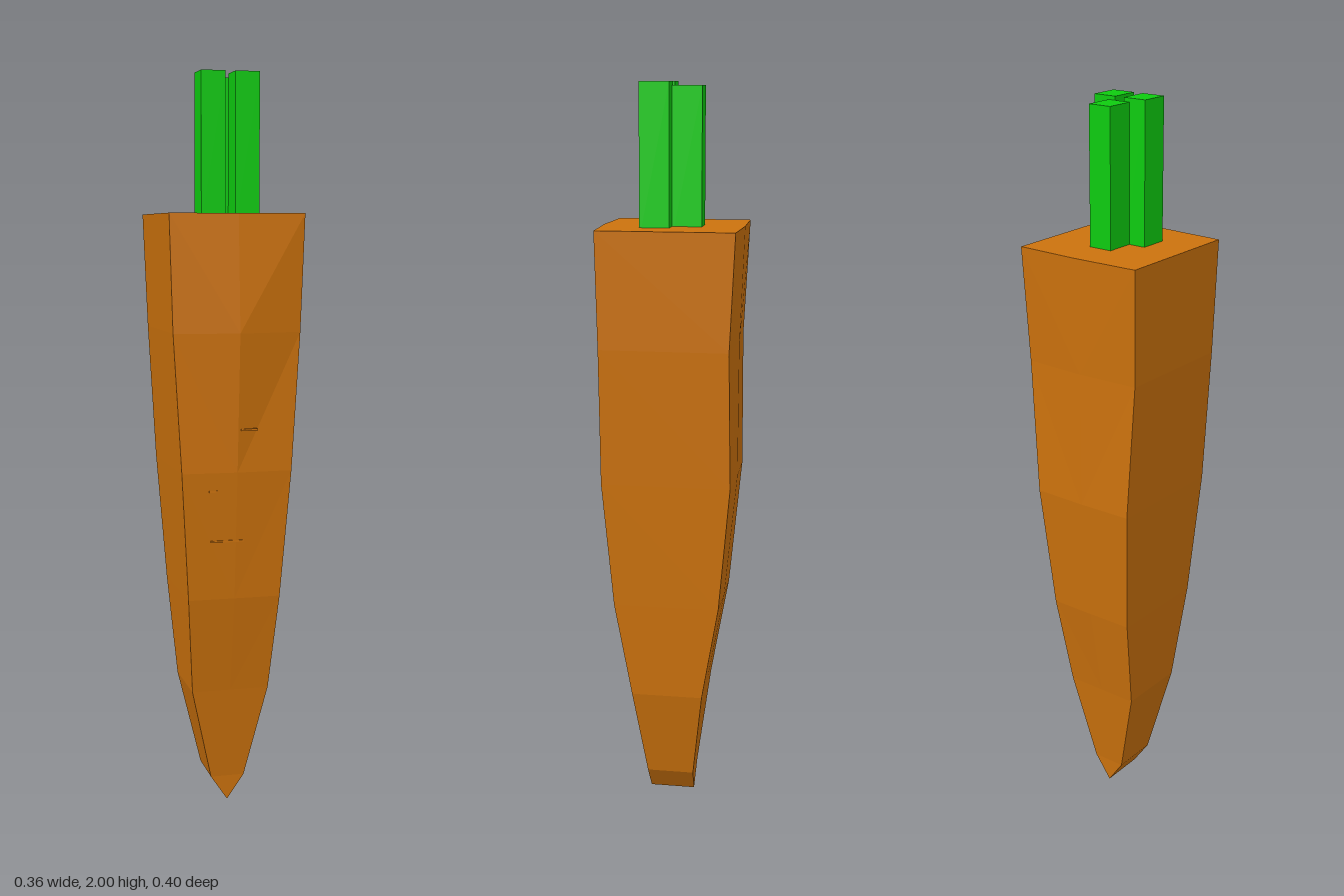
import * as THREE from 'three';

const orange = new THREE.MeshStandardMaterial({ color: 0xcc720d, flatShading: true });
const green = new THREE.MeshStandardMaterial({ color: 0x0dcc0f, flatShading: true });

// Cross-sections from top to tip: [y, half width, front corner z, front middle z, back corner z, back middle z]
const SECTIONS = [
  [1.63, 0.182, 0.17, 0.178, -0.195, -0.2],
  [1.32, 0.172, 0.165, 0.198, -0.18, -0.188],
  [0.95, 0.15, 0.165, 0.17, -0.184, -0.187],
  [0.6, 0.127, 0.137, 0.138, -0.152, -0.153],
  [0.33, 0.107, 0.092, 0.092, -0.105, -0.105],
  [0.07, 0.047, 0.058, 0.058, -0.073, -0.073],
  [0, 0, 0.055, 0.055, -0.07, -0.07],
];

function rootGeometry() {
  const positions = [];
  const index = [];
  for (const [y, x, zf, cf, zb, cb] of SECTIONS) {
    positions.push(x, y, zf, 0, y, cf, -x, y, zf, -x, y, zb, 0, y, cb, x, y, zb);
  }
  for (let r = 0; r < SECTIONS.length - 1; r++) {
    for (let j = 0; j < 6; j++) {
      const a = r * 6 + j, b = r * 6 + (j + 1) % 6, c = a + 6, d = b + 6;
      // Diagonals mirrored across the middle plane
      if (j === 0 || j === 3 || j === 2) index.push(a, b, d, a, d, c);
      else index.push(a, b, c, b, d, c);
    }
  }
  // Flat top
  for (let j = 1; j < 5; j++) index.push(0, j + 1, j);
  const geometry = new THREE.BufferGeometry();
  geometry.setAttribute('position', new THREE.Float32BufferAttribute(positions, 3));
  geometry.setIndex(index);
  const flat = geometry.toNonIndexed();
  flat.computeVertexNormals();
  return flat;
}

function box(name, w, h, d, x, y, z, material) {
  const mesh = new THREE.Mesh(new THREE.BoxGeometry(w, h, d), material);
  mesh.name = name;
  mesh.position.set(x, y, z);
  return mesh;
}

export function createModel() {
  const model = new THREE.Group();
  model.name = 'carrot';

  const root = new THREE.Mesh(rootGeometry(), orange);
  root.name = 'root';
  model.add(root);

  // Three square stalks: [name, x, z, top]
  for (const [name, x, z, top] of [
    ['rightStalk', -0.041, 0.029, 2],
    ['leftStalk', 0.052, 0.029, 2],
    ['backStalk', 0.007, -0.05, 1.99],
  ]) {
    const bottom = 1.6;
    model.add(box(name, 0.066, top - bottom, 0.079, x, (top + bottom) / 2, z, green));
  }

  // Faint ridges across the front: [x, y, z, width]
  for (const [x, y, z, w] of [
    [0.03, 1.065, 0.174, 0.045],
    [-0.065, 0.9, 0.159, 0.022],
    [-0.025, 0.762, 0.149, 0.09],
  ]) {
    model.add(box('ridge', w, 0.005, 0.012, x, y, z, orange));
  }
  return model;
}
